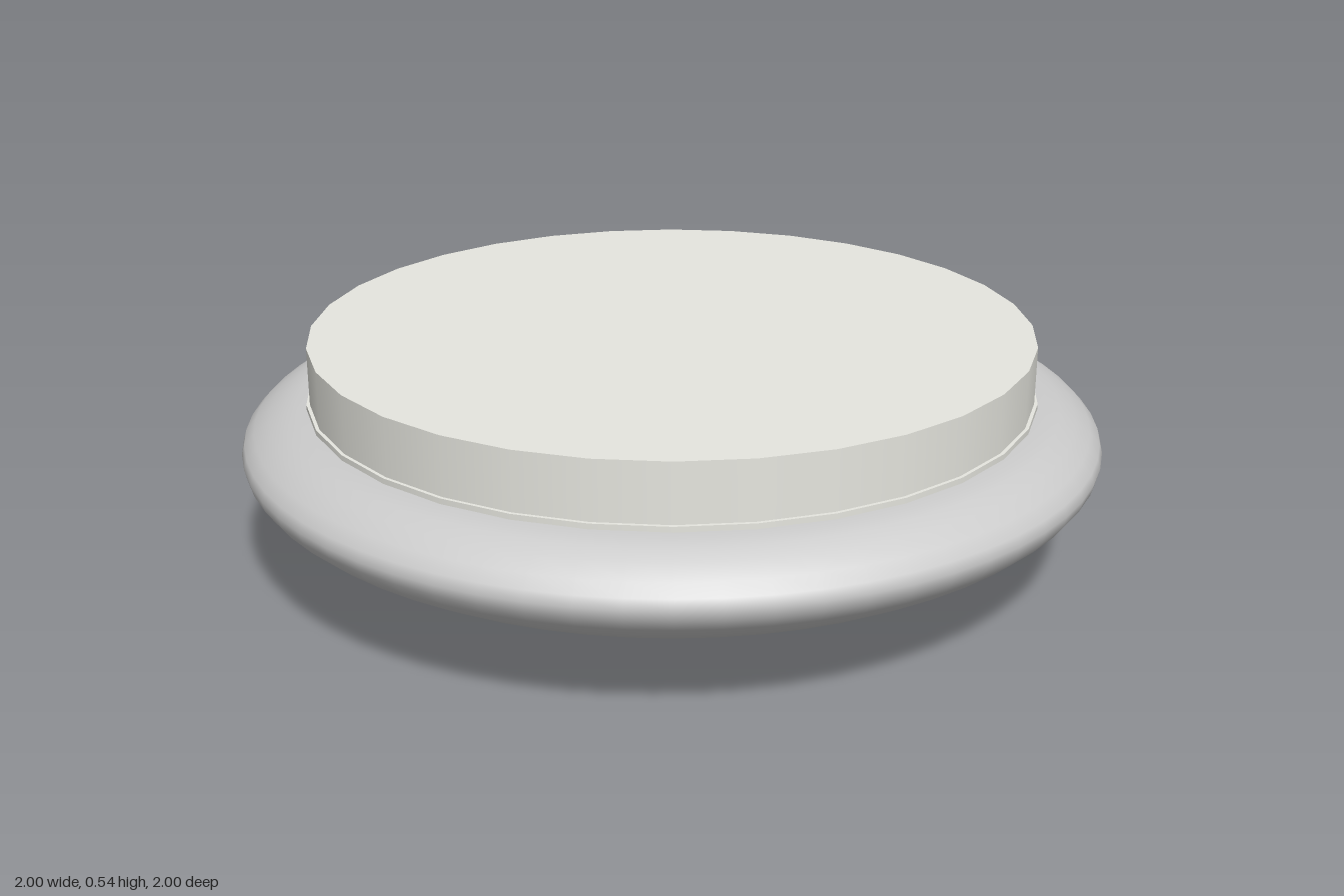
import * as THREE from 'three';

// Smooth lathe through a few [radius, height] points
function lathe(points, segments) {
  return new THREE.LatheGeometry(points.map(([r, y]) => new THREE.Vector2(r, y)), segments);
}

export function createModel() {
  const group = new THREE.Group();
  const shadeMaterial = new THREE.MeshStandardMaterial({ color: 0xcccccc, side: THREE.DoubleSide });
  const baseMaterial = new THREE.MeshStandardMaterial({ color: 0xe6e6df });

  function add(name, geometry, material, y = 0) {
    const mesh = new THREE.Mesh(geometry, material);
    mesh.name = name;
    mesh.position.y = y;
    group.add(mesh);
  }

  // Shallow bowl that swells into a rounded rim and turns in at the top
  const bowl = [0, 0.1, 0.2, 0.3, 0.4, 0.5, 0.6, 0.7, 0.8, 0.88].map((r) => [r, 0.235 * r * r]);
  const rim = [
    [0.94, 0.218], [0.975, 0.248], [0.994, 0.275], [1, 0.3], [0.993, 0.323],
    [0.97, 0.348], [0.935, 0.372], [0.9, 0.388], [0.87, 0.395], [0.84, 0.397],
  ];
  add('shade', lathe([...bowl, ...rim], 64), shadeMaterial);

  // Thin flange between the shade and the mounting plate
  add('flange', new THREE.CylinderGeometry(0.848, 0.848, 0.018, 32), baseMaterial, 0.4);

  // Mounting plate
  add('mountingPlate', new THREE.CylinderGeometry(0.84, 0.84, 0.14, 32), baseMaterial, 0.473);

  return group;
}
